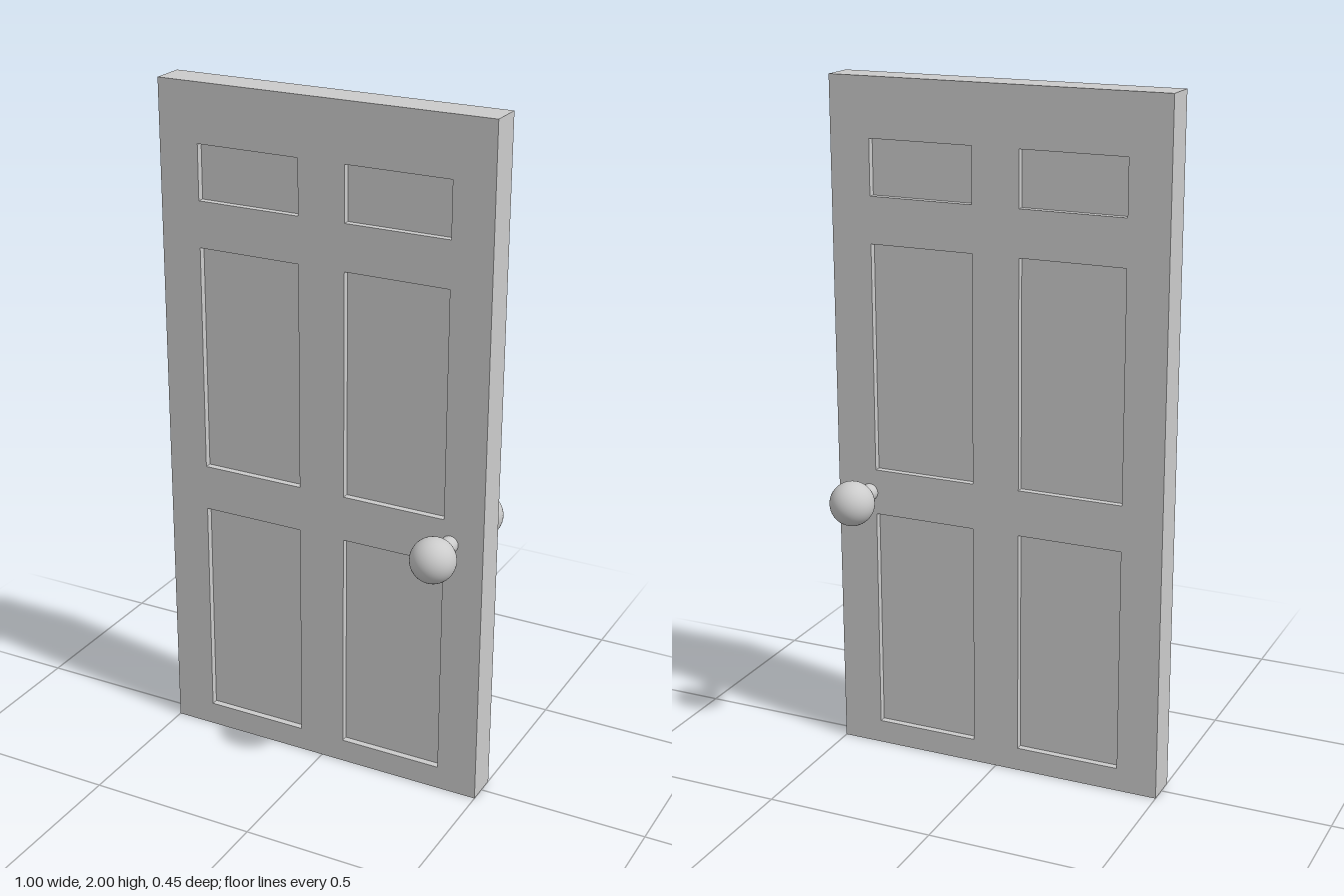
import * as THREE from 'three';

const WIDTH = 1, HEIGHT = 2, THICK = 0.1, RECESS = 0.02;
const COLUMNS = [[-0.38, -0.07], [0.07, 0.38]];
const ROWS = [[0.07, 0.735], [0.87, 1.535], [1.67, 1.83]];

function rectangle(target, x0, y0, x1, y1) {
  target.moveTo(x0, y0);
  target.lineTo(x1, y0);
  target.lineTo(x1, y1);
  target.lineTo(x0, y1);
  target.closePath();
  return target;
}

export function createModel() {
  const door = new THREE.Group();
  door.name = 'door';
  const material = new THREE.MeshStandardMaterial({ color: 0xcccccc });

  const add = (parent, name, geometry, x = 0, y = 0, z = 0) => {
    const mesh = new THREE.Mesh(geometry, material);
    mesh.name = name;
    mesh.position.set(x, y, z);
    parent.add(mesh);
    return mesh;
  };

  // Frame of stiles and rails, with six openings filled by recessed panels
  const outline = rectangle(new THREE.Shape(), -WIDTH / 2, 0, WIDTH / 2, HEIGHT);
  for (const [x0, x1] of COLUMNS) {
    for (const [y0, y1] of ROWS) {
      outline.holes.push(rectangle(new THREE.Path(), x0, y0, x1, y1));
      add(door, 'recessedPanel', new THREE.BoxGeometry(x1 - x0, y1 - y0, THICK - 2 * RECESS),
        (x0 + x1) / 2, (y0 + y1) / 2);
    }
  }
  add(door, 'frame', new THREE.ExtrudeGeometry(outline, { depth: THICK, bevelEnabled: false }), 0, 0, -THICK / 2);

  // Round knob on a short stem, one on each face
  for (const side of [1, -1]) {
    const handle = new THREE.Group();
    handle.name = side > 0 ? 'frontHandle' : 'backHandle';
    handle.position.set(0.4, 0.8, 0);
    const stem = add(handle, 'stem', new THREE.CylinderGeometry(0.025, 0.025, 0.12, 32), 0, 0, side * 0.09);
    stem.rotation.x = Math.PI / 2;
    add(handle, 'knob', new THREE.SphereGeometry(0.065, 40, 24), 0, 0, side * 0.16);
    door.add(handle);
  }
  return door;
}
